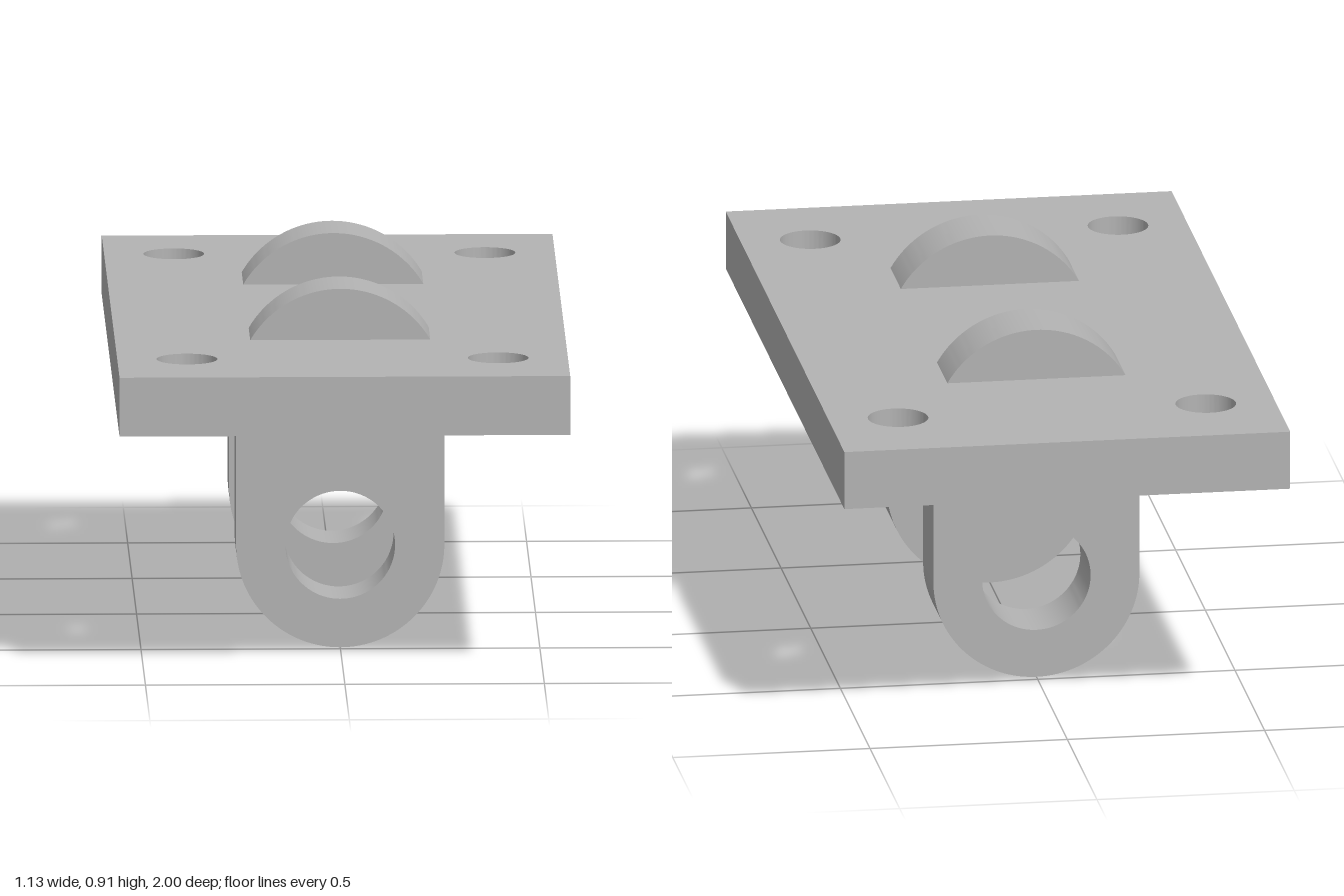
import * as THREE from 'three';
import { toCreasedNormals } from 'three/addons/utils/BufferGeometryUtils.js';

const PLATE = { halfX: 0.565, halfZ: 1, bottom: 0.633, top: 0.783 };
const LUG = { radius: 0.261, lowY: 0.261, highY: 0.652, innerZ: 0.305, outerZ: 0.479 };

function circleHole(x, y, r) {
  return new THREE.Path().absarc(x, y, r, 0, Math.PI * 2, true);
}

// Solid with smooth curved walls and sharp rims
function extrude(shape, depth) {
  const geometry = new THREE.ExtrudeGeometry(shape, { depth, bevelEnabled: false, curveSegments: 40 });
  return toCreasedNormals(geometry, Math.PI / 6);
}

export function createModel() {
  const model = new THREE.Group();
  model.name = 'mountingBracket';
  const grey = new THREE.MeshStandardMaterial({ color: 0xb3b3b3 });
  grey.name = 'grey';

  // Base plate with four bolt holes
  const { halfX, halfZ, bottom, top } = PLATE;
  const plateShape = new THREE.Shape([
    new THREE.Vector2(-halfX, -halfZ), new THREE.Vector2(halfX, -halfZ),
    new THREE.Vector2(halfX, halfZ), new THREE.Vector2(-halfX, halfZ),
  ]);
  for (const x of [-0.39, 0.39]) {
    for (const z of [-0.74, 0.74]) plateShape.holes.push(circleHole(x, z, 0.076));
  }
  const plate = new THREE.Mesh(extrude(plateShape, top - bottom), grey);
  plate.name = 'basePlate';
  plate.rotation.x = -Math.PI / 2;
  plate.position.y = bottom;
  model.add(plate);

  // Round-ended lugs that pass through the plate, each with a pin hole
  const lugShape = new THREE.Shape();
  lugShape.absarc(0, LUG.lowY, LUG.radius, Math.PI, Math.PI * 2, false);
  lugShape.absarc(0, LUG.highY, LUG.radius, 0, Math.PI, false);
  lugShape.closePath();
  lugShape.holes.push(circleHole(0, LUG.lowY, 0.1375));
  const lugGeometry = extrude(lugShape, LUG.outerZ - LUG.innerZ);
  for (const [name, z] of [['frontLug', LUG.innerZ], ['backLug', -LUG.outerZ]]) {
    const lug = new THREE.Mesh(lugGeometry, grey);
    lug.name = name;
    lug.position.z = z;
    model.add(lug);
  }

  return model;
}
